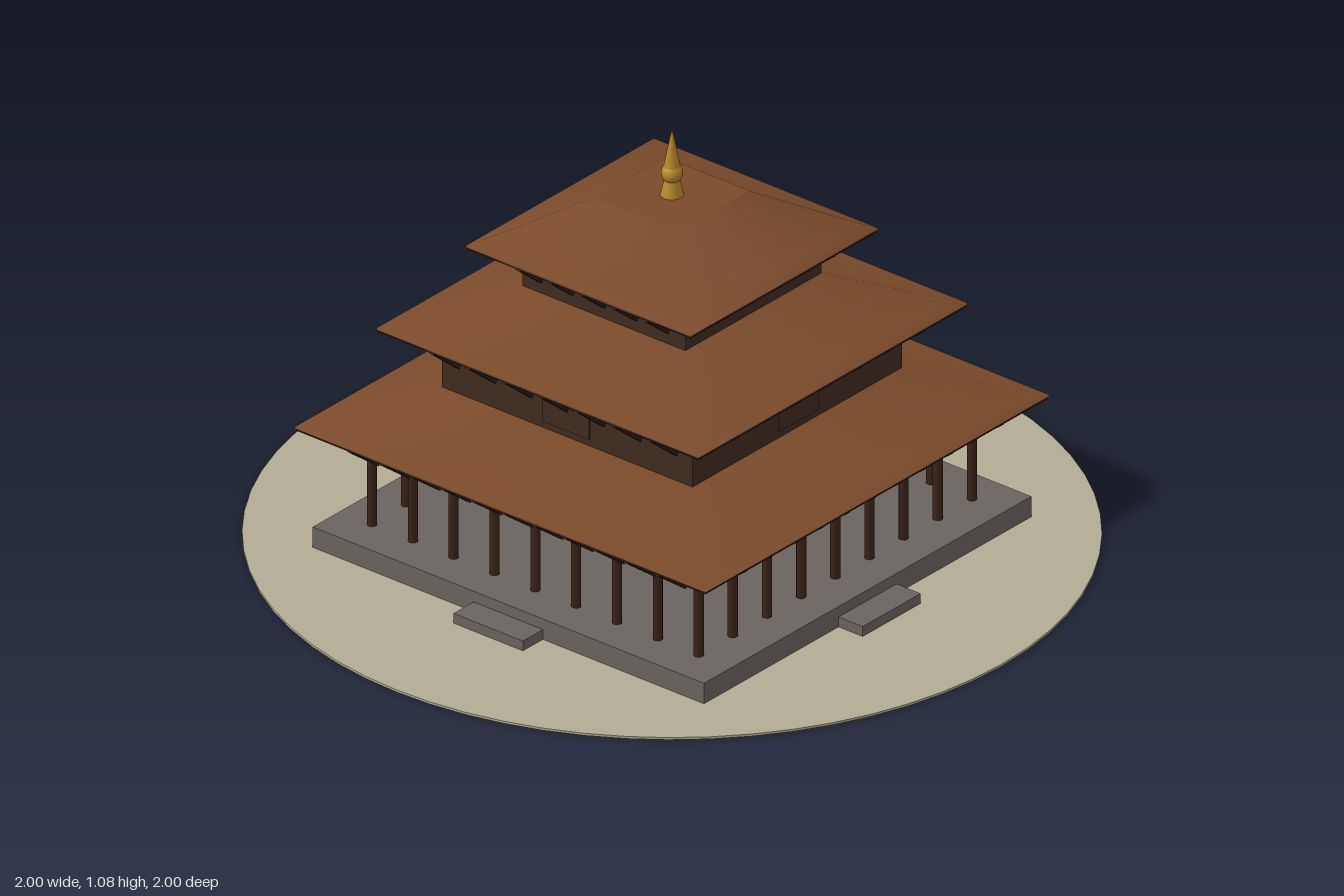
import * as THREE from 'three';

const mat = (name, color) => {
  const m = new THREE.MeshStandardMaterial({ color });
  m.name = name;
  return m;
};

export function createModel() {
  const root = new THREE.Group();
  root.name = 'tieredPavilion';
  const ground = mat('paleGround', 0xb3ab94);
  const stone = mat('greyStone', 0x69645f);
  const roofMat = mat('brownRoof', 0x7a4a2a);
  const wood = mat('darkWood', 0x412a20);
  const timber = mat('postTimber', 0x3b2318);
  const black = mat('blackTimber', 0x2a1a14);
  const gold = mat('gold', 0xb98a2c);

  const add = (parent, name, geo, material, x = 0, y = 0, z = 0) => {
    const m = new THREE.Mesh(geo, material);
    m.name = name;
    m.position.set(x, y, z);
    parent.add(m);
    return m;
  };
  // Square block given by half width and its bottom and top heights
  const block = (name, half, y0, y1, material) =>
    add(root, name, new THREE.BoxGeometry(half * 2, y1 - y0, half * 2), material, 0, (y0 + y1) / 2, 0);
  // Repeat a part on all four sides; fn builds the +z side
  const fourSides = (name, fn) => {
    for (let i = 0; i < 4; i++) {
      const g = new THREE.Group();
      g.name = name + (i + 1);
      g.rotation.y = i * Math.PI / 2;
      fn(g);
      root.add(g);
    }
  };

  // Ground disc, plinth and steps
  add(root, 'groundDisc', new THREE.CylinderGeometry(1, 1, 0.006, 64), ground, 0, 0.003, 0);
  block('plinth', 0.593, 0.006, 0.06, stone);
  fourSides('stepSide', g =>
    add(g, 'step', new THREE.BoxGeometry(0.21, 0.026, 0.08), stone, 0, 0.019, 0.626));

  // Open colonnade with a ring beam
  const postGeo = new THREE.CylinderGeometry(0.012, 0.012, 0.24, 10);
  fourSides('colonnade', g => {
    for (let i = 0; i < 8; i++) add(g, 'post', postGeo, timber, -0.495 + i * 0.12375, 0.18, 0.495);
    add(g, 'beam', new THREE.BoxGeometry(1.036, 0.03, 0.046), wood, 0, 0.303, 0.495);
  });

  // Upper storeys
  block('middleStorey', 0.38, 0.4, 0.572, wood);
  block('upperStorey', 0.247, 0.66, 0.782, wood);
  fourSides('panelSide', g =>
    add(g, 'wallPanel', new THREE.BoxGeometry(0.14, 0.06, 0.006), wood, 0, 0.465, 0.382));

  // Roofs: eave half width and height, top half width and height, then struts
  const tiers = [
    { eave: 0.623, y: 0.322, top: 0.375, topY: 0.418, n: 11, gap: 0.093, wall: 0.51, foot: 0.24 },
    { eave: 0.488, y: 0.574, top: 0.24, topY: 0.678, n: 7, gap: 0.11, wall: 0.38, foot: 0.49 },
    { eave: 0.34, y: 0.782, top: 0.128, topY: 0.9, n: 5, gap: 0.096, wall: 0.247, foot: 0.71 },
  ];
  for (const t of tiers) {
    // Four-sided shell with a slight flare at the eave
    const profile = [[0, 0], [0, 0.05], [0.09, 0.12], [0.4, 0.41], [0.7, 0.71], [1, 1]].map(([k, h]) =>
      new THREE.Vector2((t.eave + (t.top - t.eave) * k) * Math.SQRT2, t.y + (t.topY - t.y) * h));
    add(root, 'roof', new THREE.LatheGeometry(profile, 4, Math.PI / 4), roofMat);
    const cap = add(root, 'roofCap', new THREE.PlaneGeometry(t.top * 2, t.top * 2), roofMat, 0, t.topY, 0);
    cap.rotation.x = -Math.PI / 2;
    block('eaveSoffit', t.eave - 0.002, t.y - 0.005, t.y + 0.002, black);

    // Slanting struts from wall to eave
    const out = t.eave - 0.015 - t.wall;
    const rise = t.y - 0.008 - t.foot;
    const strutGeo = new THREE.BoxGeometry(0.014, 0.014, Math.hypot(out, rise));
    fourSides('strutRow', g => {
      for (let i = 0; i < t.n; i++) {
        const s = add(g, 'strut', strutGeo, black, (i - (t.n - 1) / 2) * t.gap, t.foot + rise / 2, t.wall + out / 2);
        s.rotation.x = -Math.atan2(rise, out);
      }
    });
  }

  // Gilded finial
  add(root, 'finialBase', new THREE.CylinderGeometry(0.019, 0.028, 0.04, 16), gold, 0, 0.92, 0);
  add(root, 'finialBall', new THREE.SphereGeometry(0.026, 16, 12), gold, 0, 0.958, 0);
  add(root, 'finialSpire', new THREE.ConeGeometry(0.02, 0.1, 16), gold, 0, 1.025, 0);
  return root;
}
